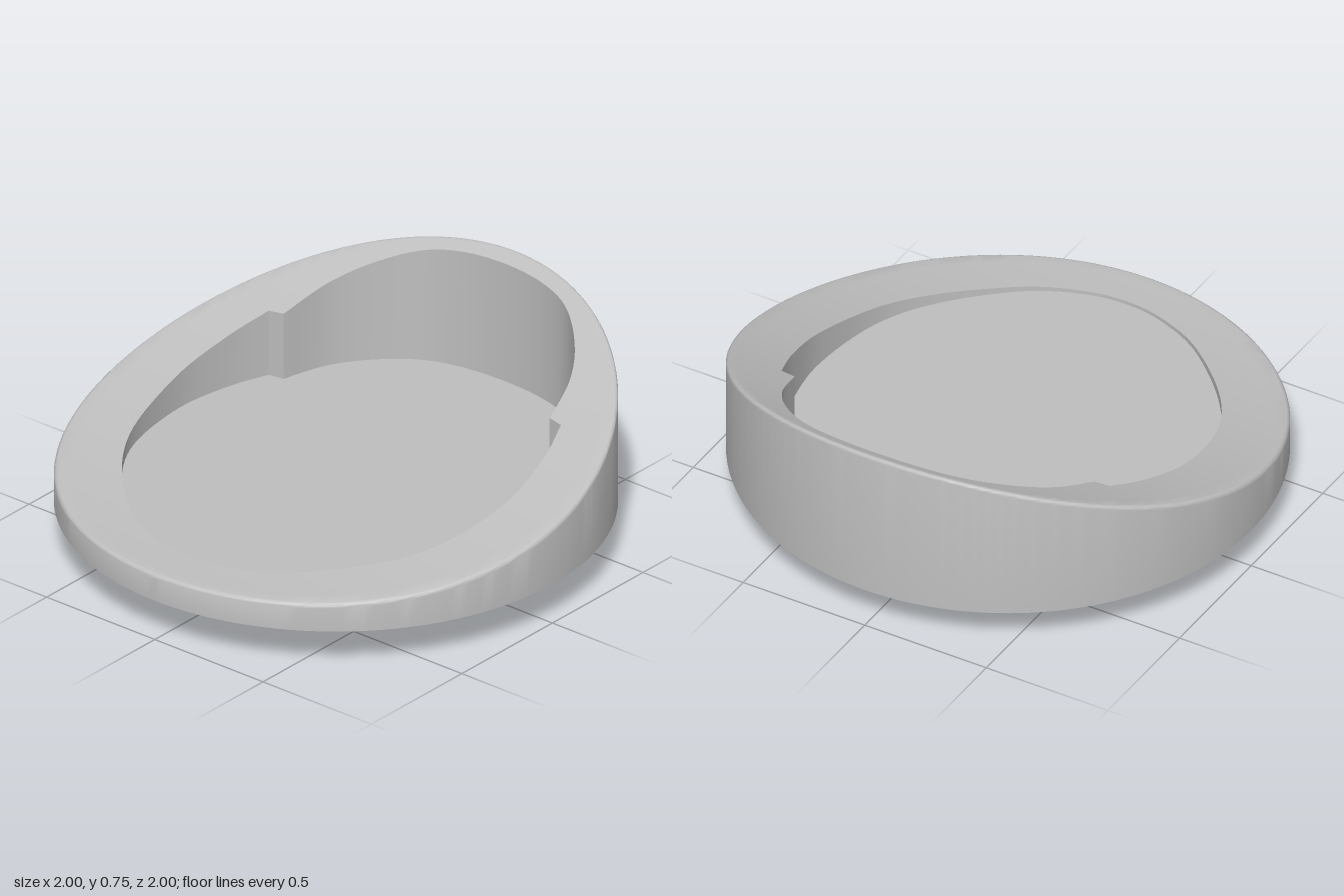
import * as THREE from 'three';
import { toCreasedNormals } from 'three/addons/utils/BufferGeometryUtils.js';

const BASE_Y = 0.155, FLOOR_Y = 0.25, FILLET = 0.018, SHEET = 0.011;
const V2 = (x, y) => new THREE.Vector2(x, y);

// Height of the sloping rim: a large arc rising from front to back
const rimHeight = z => 0.26 + 4.29 - Math.sqrt(4.29 ** 2 - (1 - z) ** 2);

// Mirrors half a curve (ending on x = 0) and samples it as a smooth spline
function mirroredSpline(half, n) {
  const pts = half.map(p => V2(...p));
  for (let i = half.length - 2; i >= 0; i--) pts.push(V2(-half[i][0], half[i][1]));
  return new THREE.SplineCurve(pts).getSpacedPoints(n);
}

// Cavity outline (x, z): wide front part, two steps, narrower back part
function cavityOutline() {
  const front = mirroredSpline([[0.675, -0.435], [0.73, -0.265], [0.757, -0.03], [0.705, 0.27],
    [0.575, 0.495], [0.355, 0.705], [0.165, 0.798], [0, 0.825]], 110);
  const back = mirroredSpline([[0.615, -0.445], [0.565, -0.615], [0.475, -0.75], [0.34, -0.865],
    [0.19, -0.918], [0, -0.935]], 80).reverse();
  return [...front, ...back];
}

// Bowl: rings swept from the underside, up the wall, over the rim and down into the cavity
function bowlGeometry() {
  const inner = cavityOutline(), n = inner.length;
  const outer = inner.map(p => p.clone().normalize());
  const rings = [];
  const ring = fn => rings.push(inner.map((p, i) => fn(p, outer[i])));
  ring(() => [0, BASE_Y, 0]);
  ring((p, o) => [o.x, BASE_Y, o.y]);
  for (let k = 0; k <= 5; k++) {
    const t = k / 5 * Math.PI / 2, r = 1 - FILLET * (1 - Math.cos(t));
    ring((p, o) => [o.x * r, rimHeight(o.y * r) - FILLET * (1 - Math.sin(t)), o.y * r]);
  }
  for (let k = 1; k <= 5; k++) {
    ring((p, o) => {
      const q = o.clone().multiplyScalar(1 - FILLET).lerp(p, k / 5);
      return [q.x, rimHeight(q.y), q.y];
    });
  }
  ring(p => [p.x, FLOOR_Y, p.y]);
  ring(() => [0, FLOOR_Y, 0]);

  const index = [], last = rings.length - 1;
  for (let k = 0; k < last; k++) {
    for (let i = 0; i < n; i++) {
      const j = (i + 1) % n;
      const a = k * n + i, b = k * n + j, c = a + n, d = b + n;
      if (k > 0) index.push(a, c, b);
      if (k < last - 1) index.push(b, c, d);
      else index.splice(-3, 3, a, c, b);
    }
  }
  const geo = new THREE.BufferGeometry();
  geo.setAttribute('position', new THREE.Float32BufferAttribute(rings.flat(2), 3));
  geo.setIndex(index);
  return toCreasedNormals(geo, 0.5);
}

// Mounting plate: rounded cross with a window and screw holes
function plateGeometry() {
  const quarter = [];
  const arc = (from, to) => {
    for (let k = 0; k <= 6; k++) {
      const a = THREE.MathUtils.degToRad(from + (to - from) * k / 6);
      quarter.push([0.618 * Math.cos(a), 0.61 * Math.sin(a)]);
    }
  };
  arc(0, 24);
  quarter.push([0.548, 0.268], [0.525, 0.28], [0.4, 0.28], [0.4, 0.25], [0.2, 0.25], [0.2, 0.56], [0.19, 0.575]);
  arc(73, 90);
  const rev = quarter.slice().reverse();
  const shape = new THREE.Shape([
    ...quarter,
    ...rev.slice(1).map(([x, y]) => [-x, y]),
    ...quarter.slice(1).map(([x, y]) => [-x, -y]),
    ...rev.slice(1, -1).map(([x, y]) => [x, -y]),
  ].map(p => V2(...p)));

  const w = 0.195, h = 0.13, c = 0.02;
  shape.holes.push(new THREE.Path([[w, h - c], [w - c, h], [c - w, h], [-w, h - c],
    [-w, c - h], [c - w, -h], [w - c, -h], [w, c - h]].map(p => V2(...p))));
  const hole = (x, y, r) => shape.holes.push(new THREE.Path().absarc(x, y, r, 0, Math.PI * 2, true));
  for (const s of [-1, 1]) {
    hole(0, s * 0.56, 0.012);
    for (const t of [-1, 1]) {
      hole(s * 0.5, t * 0.23, 0.012);
      hole(s * 0.23, t * 0.09, 0.007);
      hole(s * 0.12, t * 0.17, 0.007);
    }
  }
  const geo = new THREE.ExtrudeGeometry(shape, { depth: SHEET, bevelEnabled: false, curveSegments: 6 });
  return geo.rotateX(-Math.PI / 2);
}

// Leg: a tab bent upward from the plate edge, 0.2 wide
function legGeometry() {
  const z = 0.275, r = 0.025;
  const s = new THREE.Shape();
  s.moveTo(z - r, 0);
  s.absarc(z - r, r, r, -Math.PI / 2, 0, false);
  s.lineTo(z, BASE_Y);
  s.lineTo(z - SHEET, BASE_Y);
  s.lineTo(z - SHEET, r);
  s.absarc(z - r, r, r - SHEET, 0, -Math.PI / 2, true);
  const geo = new THREE.ExtrudeGeometry(s, { depth: 0.2, bevelEnabled: false, curveSegments: 6 });
  geo.translate(0, 0, -0.1).rotateY(-Math.PI / 2);
  return toCreasedNormals(geo, 0.5);
}

export function createModel() {
  const group = new THREE.Group();
  const grey = new THREE.MeshStandardMaterial({ color: 0xbfbfbf });
  grey.name = 'lightGrey';
  const add = (name, geo) => {
    const mesh = new THREE.Mesh(geo, grey);
    mesh.name = name;
    group.add(mesh);
    return mesh;
  };
  add('slopedBowl', bowlGeometry());
  add('mountingPlate', plateGeometry());

  // Four legs, front and back pairs
  const leg = legGeometry();
  for (const side of [-1, 1]) {
    for (const end of ['front', 'back']) {
      const mesh = add(end + (side > 0 ? 'Left' : 'Right') + 'Leg', leg);
      mesh.position.x = side * 0.3;
      if (end === 'back') mesh.rotation.y = Math.PI;
    }
  }
  return group;
}
